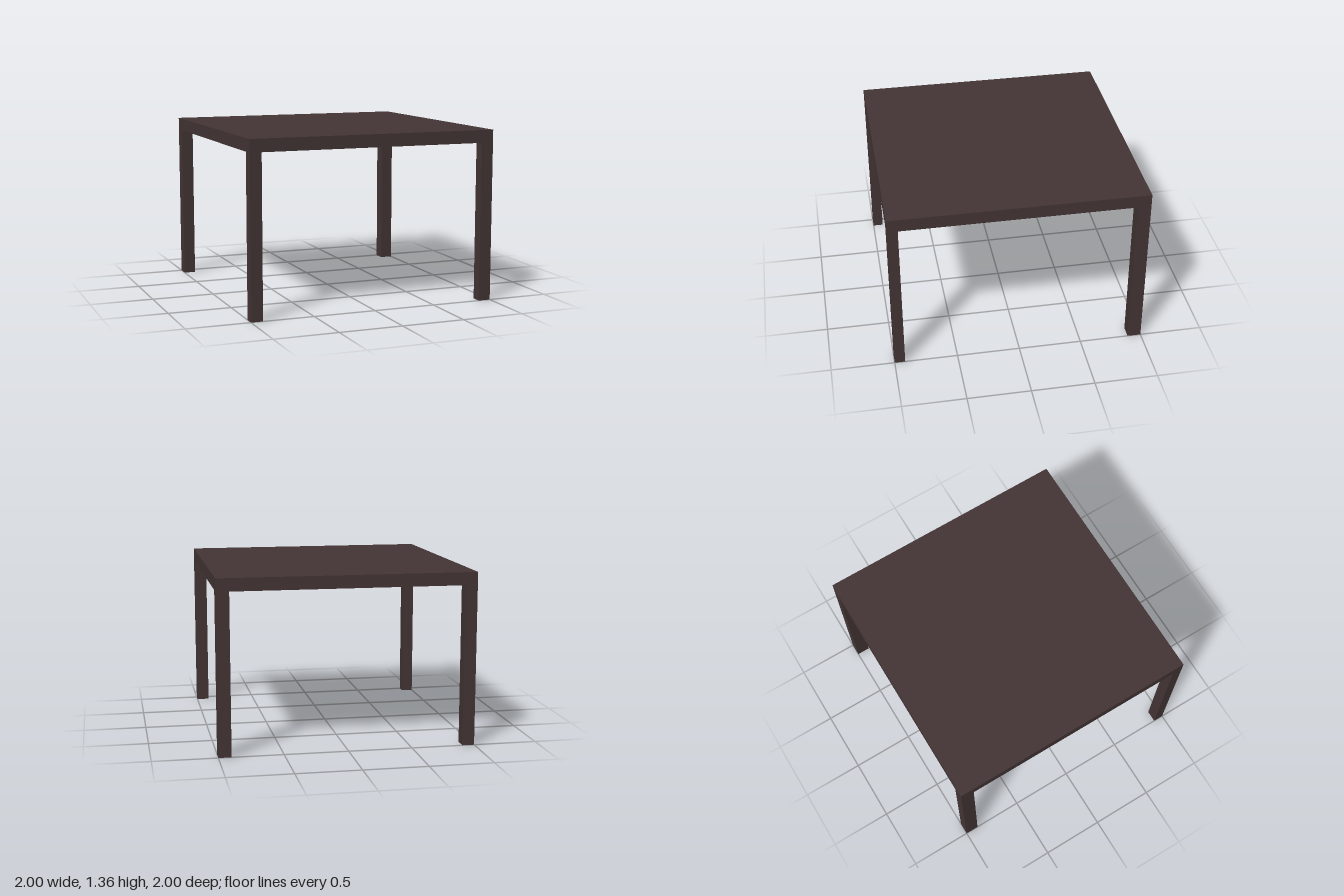
import * as THREE from 'three';

export function createModel() {
  const table = new THREE.Group();
  table.name = 'table';
  const material = new THREE.MeshStandardMaterial({ color: 0x443535 });

  const height = 1.36;
  const topThickness = 0.1;
  const legHeight = height - topThickness;

  function addBox(name, width, tall, depth, x, y, z) {
    const mesh = new THREE.Mesh(new THREE.BoxGeometry(width, tall, depth), material);
    mesh.name = name;
    mesh.position.set(x, y, z);
    table.add(mesh);
  }

  // Square slab top
  addBox('tableTop', 2, topThickness, 2, 0, height - topThickness / 2, 0);

  // Corner legs, flush with the edges of the top; the back pair is a little deeper
  for (const [side, sx, width] of [['Left', 1, 0.1], ['Right', -1, 0.094]]) {
    for (const [end, sz, depth] of [['front', 1, 0.083], ['back', -1, 0.107]]) {
      addBox(`${end}${side}Leg`, width, legHeight, depth,
        sx * (1 - width / 2), legHeight / 2, sz * (1 - depth / 2));
    }
  }

  return table;
}
